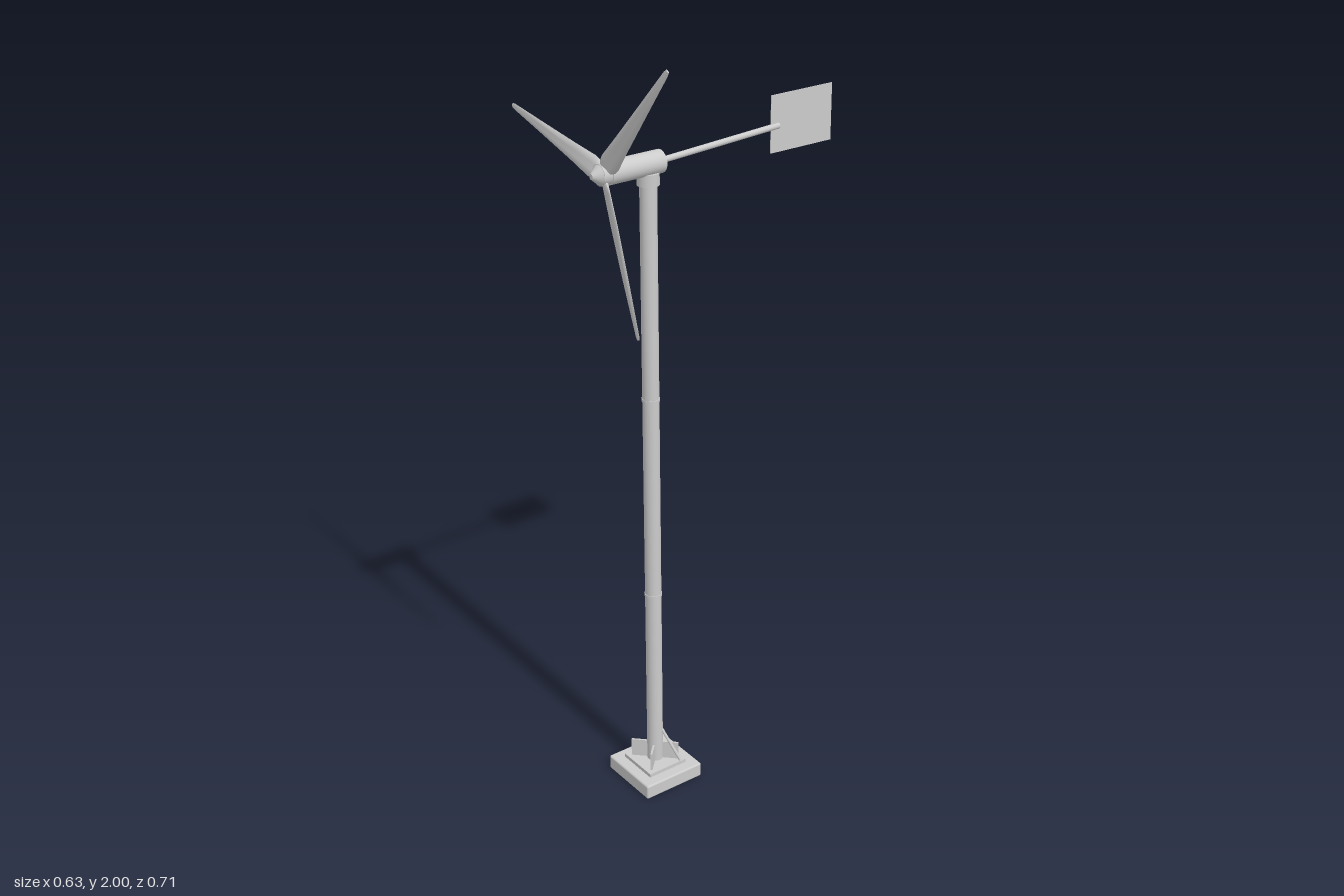
import * as THREE from 'three';
import { RoundedBoxGeometry } from 'three/addons/geometries/RoundedBoxGeometry.js';
import { toCreasedNormals } from 'three/addons/utils/BufferGeometryUtils.js';

const CX = 0.062, CZ = 0.195, AXIS_Y = 1.703, ROTOR_Z = 0.319;

const grey = new THREE.MeshStandardMaterial({ color: 0xcccccc });
const thin = new THREE.MeshStandardMaterial({ color: 0xcccccc, side: THREE.DoubleSide });

function add(parent, name, geometry, x = 0, y = 0, z = 0, material = grey) {
  const mesh = new THREE.Mesh(geometry, material);
  mesh.name = name;
  mesh.position.set(x, y, z);
  parent.add(mesh);
  return mesh;
}

// Straight round bar between two points
function bar(parent, name, a, b, rA, rB = rA, sides = 16) {
  const from = new THREE.Vector3(...a), to = new THREE.Vector3(...b);
  const dir = to.clone().sub(from);
  const mesh = add(parent, name, new THREE.CylinderGeometry(rB, rA, dir.length(), sides));
  mesh.position.copy(from).add(to).multiplyScalar(0.5);
  mesh.quaternion.setFromUnitVectors(new THREE.Vector3(0, 1, 0), dir.normalize());
  return mesh;
}

// Blade along +x: stations are [radius, chord, thickness, twist]
function bladeGeometry() {
  const stations = [
    [0.012, 0.026, 0.016, 0.45], [0.028, 0.046, 0.013, 0.42], [0.045, 0.052, 0.011, 0.36],
    [0.12, 0.043, 0.009, 0.24], [0.25, 0.029, 0.007, 0.14], [0.375, 0.015, 0.005, 0.08], [0.386, 0.010, 0.004, 0.08],
  ];
  const n = 10, pos = [], idx = [];
  for (const [r, chord, thick, twist] of stations) {
    for (let i = 0; i < n; i++) {
      const a = (i / n) * Math.PI * 2;
      const y = Math.cos(a) * chord / 2, z = Math.sin(a) * thick / 2;
      pos.push(r, y * Math.cos(twist) - z * Math.sin(twist), y * Math.sin(twist) + z * Math.cos(twist));
    }
  }
  for (let s = 0; s < stations.length - 1; s++) {
    for (let i = 0; i < n; i++) {
      const a = s * n + i, b = s * n + (i + 1) % n;
      idx.push(a, b, b + n, a, b + n, a + n);
    }
  }
  // End caps
  const last = (stations.length - 1) * n;
  for (let i = 1; i < n - 1; i++) idx.push(0, i + 1, i, last, last + i, last + i + 1);
  const g = new THREE.BufferGeometry();
  g.setAttribute('position', new THREE.Float32BufferAttribute(pos, 3));
  g.setIndex(idx);
  return toCreasedNormals(g, 0.9);
}

export function createModel() {
  const model = new THREE.Group();
  model.name = 'windTurbine';

  // Foundation slab and mounting plate
  const base = new THREE.Group();
  base.name = 'base';
  base.position.set(CX, 0, CZ);
  model.add(base);
  add(base, 'foundationSlab', new RoundedBoxGeometry(0.176, 0.04, 0.176, 2, 0.005), 0, 0.02, 0);
  add(base, 'mountingPlate', new THREE.BoxGeometry(0.116, 0.012, 0.116), 0, 0.044, 0);

  // Diagonal stiffening fins round the tower foot
  for (let i = 0; i < 4; i++) {
    const a = Math.PI / 4 + i * Math.PI / 2;
    const fin = add(base, 'footFin', new THREE.BoxGeometry(0.05, 0.052, 0.005),
      Math.cos(a) * 0.038, 0.074, -Math.sin(a) * 0.038);
    fin.rotation.y = a;
  }
  bar(base, 'cableConduit', [0.014, 0.142, -0.012], [0.056, 0.046, -0.045], 0.004, 0.004, 10);

  // Tower with flanged joints and top collar
  add(model, 'tower', new THREE.CylinderGeometry(0.021, 0.021, 1.62, 24), CX, 0.86, CZ);
  for (const y of [0.555, 1.105]) {
    add(model, 'towerJoint', new THREE.CylinderGeometry(0.0225, 0.0225, 0.008, 24), CX, y, CZ);
  }
  add(model, 'yawCollar', new THREE.CylinderGeometry(0.027, 0.027, 0.03, 24), CX, 1.668, CZ);

  // Nacelle
  bar(model, 'nacelle', [CX, AXIS_Y, 0.16], [CX, AXIS_Y, 0.308], 0.028, 0.028, 32);

  // Tail boom and flat vane
  bar(model, 'tailBoom', [CX, AXIS_Y, 0.165], [CX, 1.722, -0.19], 0.0075);
  add(model, 'tailVane', new THREE.BoxGeometry(0.0015, 0.144, 0.189), CX, 1.728, -0.26, thin);

  // Rotor: hub, nose cone and three twisted blades
  const rotor = new THREE.Group();
  rotor.name = 'rotor';
  rotor.position.set(CX, AXIS_Y, ROTOR_Z);
  model.add(rotor);
  bar(rotor, 'hub', [0, 0, -0.012], [0, 0, 0.012], 0.026, 0.026, 24);
  bar(rotor, 'noseCone', [0, 0, 0.012], [0, 0, 0.033], 0.025, 0.007, 24);
  const blade = bladeGeometry();
  for (let i = 0; i < 3; i++) {
    const mesh = add(rotor, 'blade', blade);
    mesh.rotation.z = THREE.MathUtils.degToRad(49.5 + i * 120);
  }
  return model;
}
